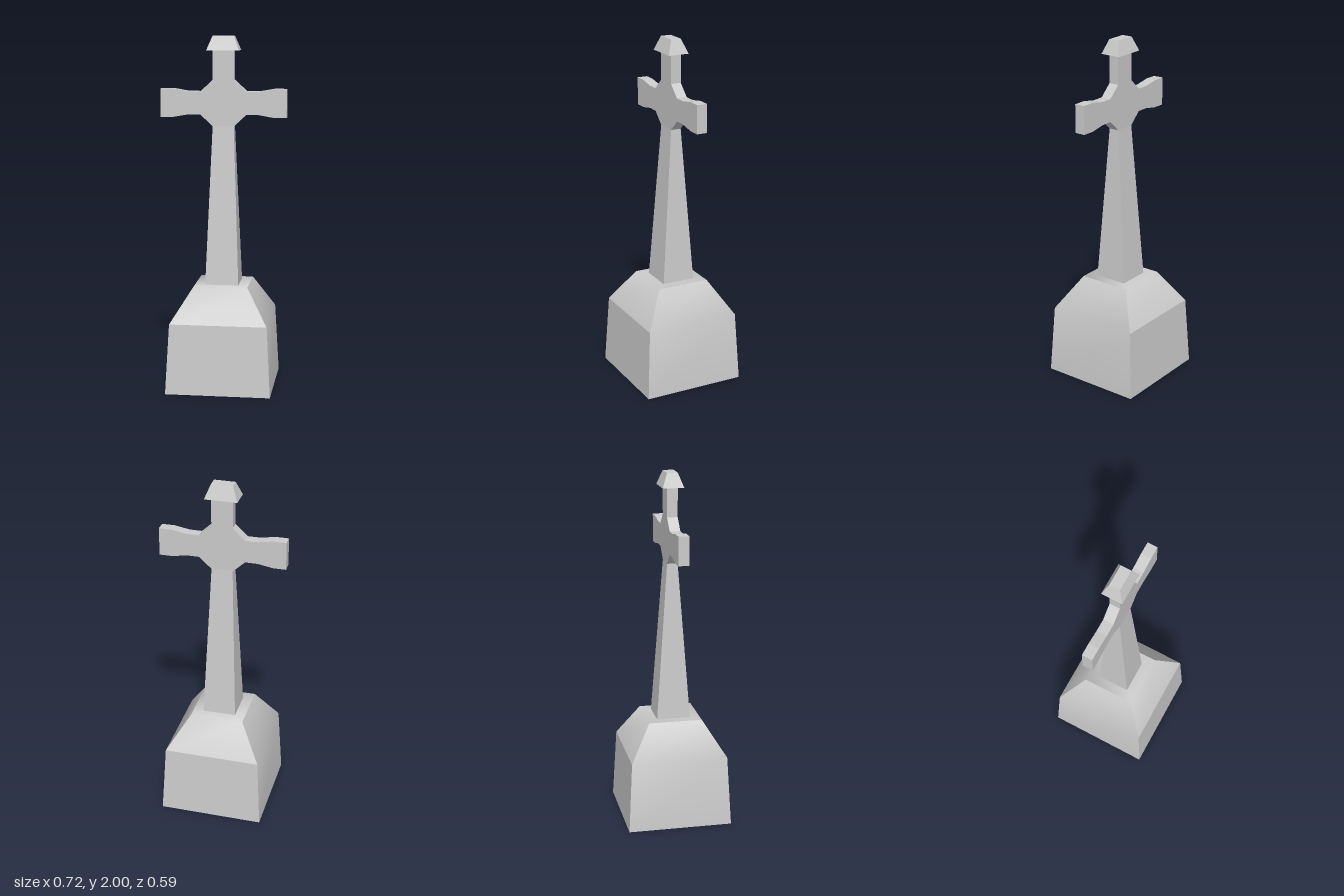
import * as THREE from 'three';

const stone = new THREE.MeshStandardMaterial({ color: 0xcccccc, side: THREE.DoubleSide });

function mesh(name, geometry) {
  const m = new THREE.Mesh(geometry, stone);
  m.name = name;
  return m;
}

// Strip of quads joining rows of [left, right] points; shading is smooth along the strip
function strip(name, rows) {
  const g = new THREE.BufferGeometry();
  g.setAttribute('position', new THREE.Float32BufferAttribute(rows.flat(2), 3));
  const index = [];
  for (let i = 0; i < rows.length - 1; i++) {
    const a = i * 2;
    index.push(a, a + 1, a + 3, a, a + 3, a + 2);
  }
  g.setIndex(index);
  g.computeVertexNormals();
  return mesh(name, g);
}

// Four-sided tapering block; sections are [halfWidth, halfDepth]
function taperedBlock(name, y0, y1, [w0, d0], [w1, d1]) {
  const g = new THREE.BoxGeometry(2, y1 - y0, 2).toNonIndexed();
  g.translate(0, (y0 + y1) / 2, 0);
  const p = g.attributes.position;
  for (let i = 0; i < p.count; i++) {
    const top = p.getY(i) > (y0 + y1) / 2;
    p.setX(i, p.getX(i) * (top ? w1 : w0));
    p.setZ(i, p.getZ(i) * (top ? d1 : d0));
  }
  g.computeVertexNormals();
  return mesh(name, g);
}

// Hollow square plinth, open underneath, with a steep wall and a sloping shoulder
function plinth() {
  const group = new THREE.Group();
  group.name = 'plinth';
  const foot = [0.297, 0], shoulder = [0.275, 0.4], top = [0.153, 0.595];
  // Row across x at depth z = side * half
  const row = ([h, y], side) => [[-h, y, side * h], [h, y, side * h]];
  group.add(strip('shoulderAndTop', [row(shoulder, 1), row(top, 1), row(top, -1), row(shoulder, -1)]));
  group.add(strip('frontWall', [row(foot, 1), row(shoulder, 1)]));
  group.add(strip('backWall', [row(shoulder, -1), row(foot, -1)]));
  for (const s of [-1, 1]) {
    const side = [foot, shoulder, top].map(([h, y]) => [[s * h, y, s * h], [s * h, y, -s * h]]);
    group.add(strip(s > 0 ? 'leftSide' : 'rightSide', side));
  }
  return group;
}

// Flat cross head with chamfered inner corners and flared arms
function crossHead() {
  const half = [
    [0.06, 1.495], [0.13, 1.56], [0.2, 1.56], [0.285, 1.545], [0.358, 1.545],
    [0.358, 1.705], [0.285, 1.705], [0.2, 1.69], [0.13, 1.69], [0.06, 1.755], [0.06, 1.93],
  ];
  const outline = [...half, ...half.map(([x, y]) => [-x, y]).reverse()];
  const shape = new THREE.Shape(outline.map(([x, y]) => new THREE.Vector2(x, y)));
  const g = new THREE.ExtrudeGeometry(shape, { depth: 0.06, bevelEnabled: false });
  g.translate(0, 0, -0.03);
  return mesh('crossHead', g);
}

export function createModel() {
  const model = new THREE.Group();
  model.name = 'stoneCross';
  model.add(
    plinth(),
    taperedBlock('shaft', 0.595, 1.495, [0.095, 0.096], [0.06, 0.03]),
    crossHead(),
    taperedBlock('cap', 1.92, 2, [0.092, 0.06], [0.06, 0.03]),
  );
  return model;
}
